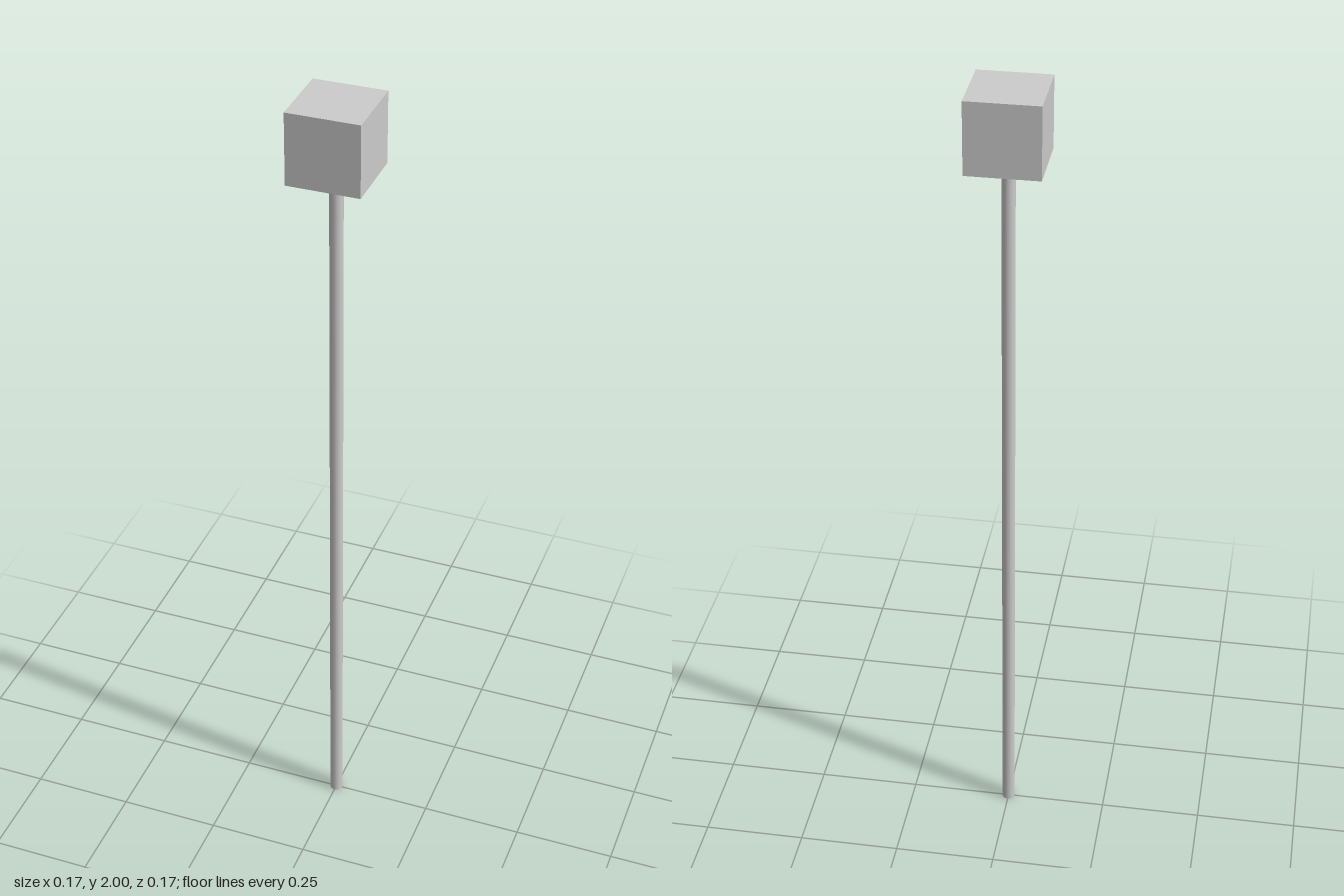
import * as THREE from 'three';

export function createModel() {
  const model = new THREE.Group();
  model.name = 'cubeToppedPole';
  const material = new THREE.MeshStandardMaterial({ color: 0xcccccc });

  const headSize = 0.173;
  const poleHeight = 2 - headSize;

  const add = (name, geometry, y) => {
    const mesh = new THREE.Mesh(geometry, material);
    mesh.name = name;
    mesh.position.y = y;
    model.add(mesh);
  };

  // Slender round pole standing on the ground
  add('pole', new THREE.CylinderGeometry(0.016, 0.016, poleHeight, 16), poleHeight / 2);

  // Cube head resting on the pole
  add('head', new THREE.BoxGeometry(headSize, headSize, headSize), 2 - headSize / 2);

  return model;
}
